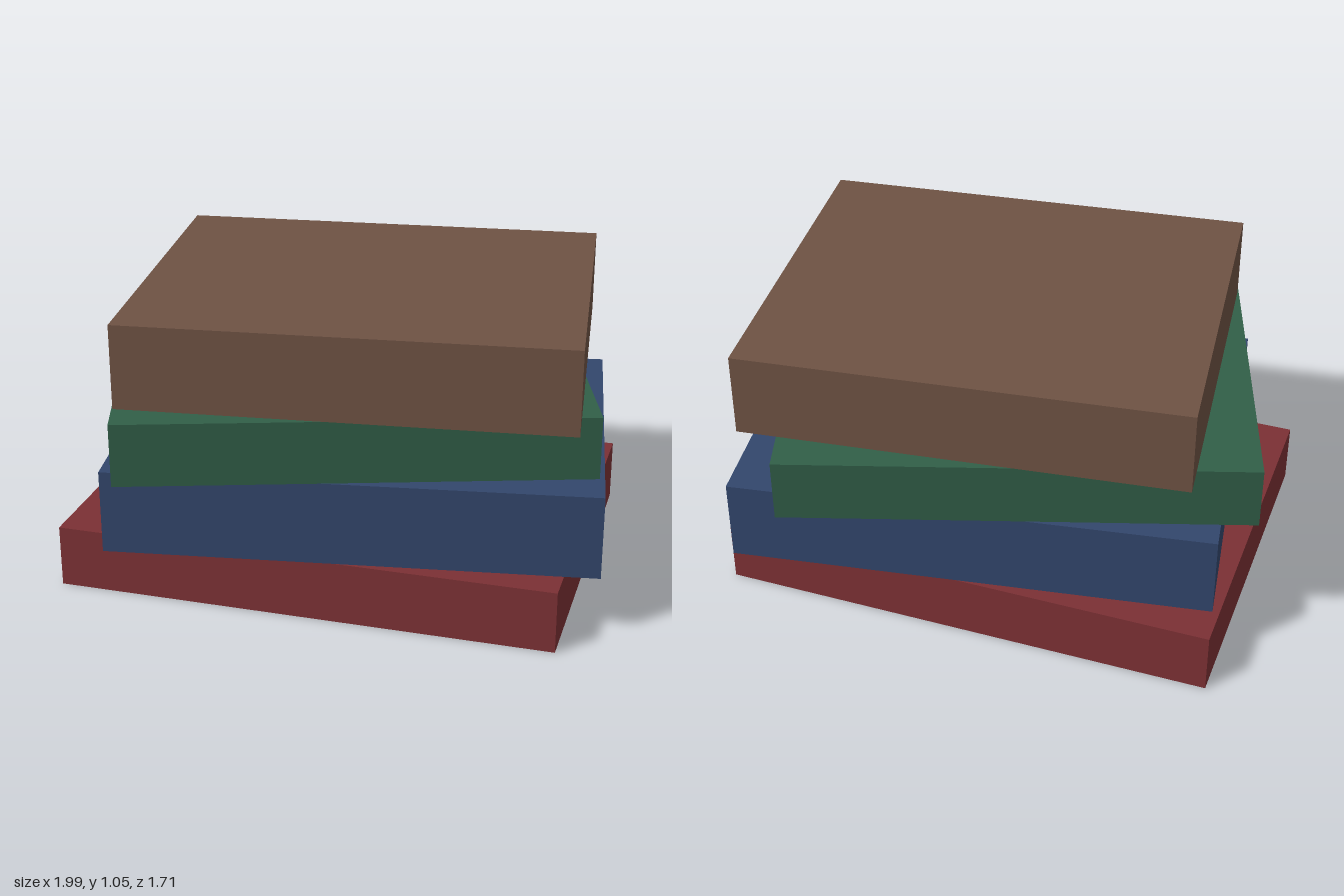
import * as THREE from 'three';

// Stack of four slab-like books, each turned a little about the vertical axis
const DEPTH = 1.27;
const BOOKS = [
  { name: 'redBook', color: 0x7b3034, width: 1.79, height: 0.225, x: -0.023, turn: 0 },
  { name: 'blueBook', color: 0x32466c, width: 1.71, height: 0.3, x: 0.05, turn: 0.156 },
  { name: 'greenBook', color: 0x315f48, width: 1.64, height: 0.225, x: -0.023, turn: 0.313 },
  { name: 'brownBook', color: 0x6e5243, width: 1.562, height: 0.3, x: 0.052, turn: 0.122 },
];

export function createModel() {
  const stack = new THREE.Group();
  stack.name = 'bookStack';
  let y = 0;
  for (const { name, color, width, height, x, turn } of BOOKS) {
    const material = new THREE.MeshStandardMaterial({ color });
    material.name = name.replace('Book', 'Cover');
    const book = new THREE.Mesh(new THREE.BoxGeometry(width, height, DEPTH), material);
    book.name = name;
    book.position.set(x, y + height / 2, 0);
    book.rotation.y = turn;
    stack.add(book);
    y += height; // next book rests on this one
  }
  return stack;
}
